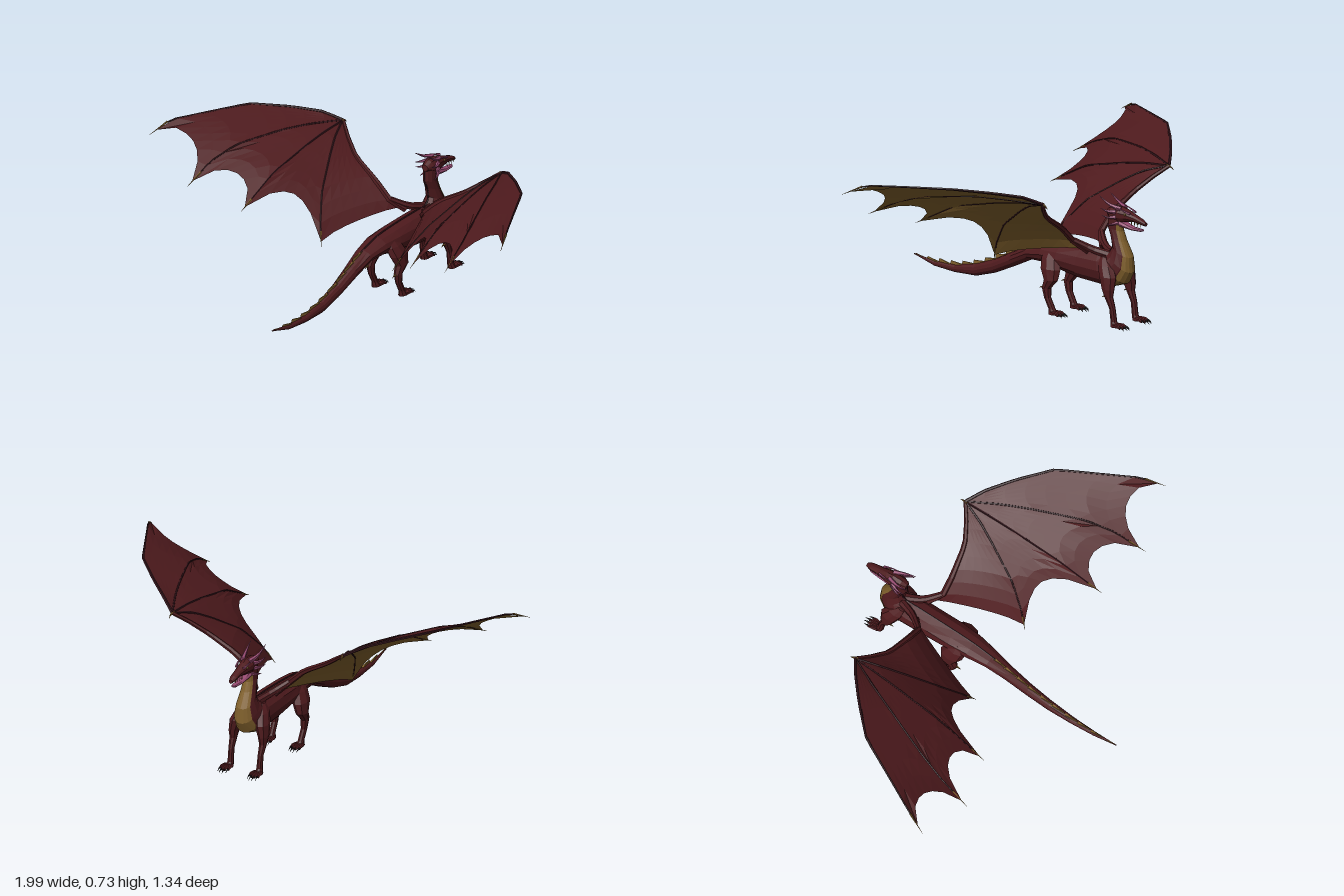
import * as THREE from 'three';

const mat = (color) => new THREE.MeshStandardMaterial({ color, flatShading: true, roughness: 0.9 });
const RED = mat(0x4e1a1d), DARK = mat(0x32141a), GOLD = mat(0x80602c), PINK = mat(0x964a70), BLACK = mat(0x151012);
const PLATE = mat(0x80602c);
PLATE.side = THREE.DoubleSide;
const V = (x, y, z) => new THREE.Vector3(x, y, z);

function buildGeometry(pos, idx) {
  const g = new THREE.BufferGeometry();
  g.setAttribute('position', new THREE.Float32BufferAttribute(pos, 3));
  g.setIndex(idx);
  g.computeVertexNormals();
  return g;
}

// Skin over elliptical sections { c: centre, u, v: half axes }, over a range of angles
function loft(secs, n = 10, a0 = 0, a1 = Math.PI * 2) {
  const pos = [], idx = [], m = n + 1, last = secs.length - 1;
  secs.forEach((s, i) => {
    const dir = secs[Math.min(i + 1, last)].c.clone().sub(secs[Math.max(i - 1, 0)].c);
    const side = s.u.clone().cross(dir).dot(s.v) < 0 ? -1 : 1;
    for (let j = 0; j <= n; j++) {
      const a = a0 + (a1 - a0) * j / n;
      pos.push(...s.c.clone().addScaledVector(s.u, side * Math.sin(a)).addScaledVector(s.v, Math.cos(a)).toArray());
    }
  });
  for (let i = 0; i < last; i++) for (let j = 0; j < n; j++) {
    const a = i * m + j, b = a + m;
    idx.push(a, a + 1, b, a + 1, b + 1, b);
  }
  if (a1 - a0 > 6) [0, last].forEach((i) => {
    const k = pos.length / 3;
    pos.push(...secs[i].c.toArray());
    for (let j = 0; j < n; j++) i ? idx.push(k, i * m + j, i * m + j + 1) : idx.push(k, j + 1, j);
  });
  return buildGeometry(pos, idx);
}

// Section from its top and bottom points in the middle plane and its half width
const spine = ([tz, ty, bz, by, w]) => ({
  c: V(0, (ty + by) / 2, (tz + bz) / 2), u: V(w, 0, 0), v: V(0, (ty - by) / 2, (tz - bz) / 2),
});
const headSection = ([z, top, bottom, w]) => spine([z, top, z, bottom, w]);

// Tapered round limb, bone, horn or claw along a smooth path
function taper(points, r0, r1, steps = 6, n = 5) {
  const curve = new THREE.CatmullRomCurve3(points), f = curve.computeFrenetFrames(steps);
  return loft(Array.from({ length: steps + 1 }, (_, i) => {
    const r = r0 + (r1 - r0) * i / steps;
    return { c: curve.getPointAt(i / steps), u: f.normals[i].clone().multiplyScalar(r), v: f.binormals[i].clone().multiplyScalar(r) };
  }), n);
}

function add(parent, name, geometry, material) {
  const m = new THREE.Mesh(geometry, material);
  m.name = name;
  parent.add(m);
  return m;
}

// Wing skin ruled between two bones, its trailing edge curved inward by sag
function membrane(A, B, sag, up) {
  const pos = [], idx = [], n = 8, k = 6;
  for (let i = 0; i <= n; i++) for (let j = 0; j <= k; j++) {
    const s = j / k, t = i / n * (0.96 - sag * Math.pow(4 * s * (1 - s), 0.65));
    const p = A.getPointAt(t).lerp(B.getPointAt(t), s);
    pos.push(p.x, p.y + (up ? 0.001 : -0.001), p.z);
  }
  const P = (i) => V(pos[3 * i], pos[3 * i + 1], pos[3 * i + 2]);
  for (let i = 0; i < n; i++) for (let j = 0; j < k; j++) {
    const a = i * (k + 1) + j, b = a + k + 1;
    for (const [p, q, r] of [[a, a + 1, b], [a + 1, b + 1, b]]) {
      const ny = P(q).sub(P(p)).cross(P(r).sub(P(p))).y;
      if (ny > 0 === up) idx.push(p, q, r);
      else idx.push(p, r, q);
    }
  }
  return buildGeometry(pos, idx);
}

function wing(s) {
  const g = new THREE.Group();
  // Straight segments between the joints
  const path = (pts) => new THREE.CatmullRomCurve3(pts.map(([x, y, z]) => V(x * s, y, z)), false, 'catmullrom', 0);
  const wrist = [0.45, 0.63, -0.44];
  const bones = [
    [wrist, [0.525, 0.67, -0.39], [0.64, 0.698, -0.295], [0.77, 0.722, -0.17], [0.87, 0.722, 0.02], [0.955, 0.72, 0.18], [0.995, 0.67, 0.28]],
    [wrist, [0.52, 0.645, -0.3], [0.58, 0.65, -0.16], [0.67, 0.635, 0.06], [0.71, 0.59, 0.2], [0.73, 0.515, 0.345]],
    [wrist, [0.455, 0.62, -0.3], [0.46, 0.6, -0.18], [0.468, 0.55, 0.05], [0.48, 0.435, 0.275]],
    [wrist, [0.41, 0.6, -0.33], [0.37, 0.55, -0.24], [0.3, 0.45, -0.09], [0.24, 0.34, 0], [0.2, 0.25, 0.045]],
    [wrist, [0.39, 0.585, -0.395], [0.31, 0.525, -0.35], [0.18, 0.45, -0.33], [0.1, 0.375, -0.33], [0.05, 0.325, -0.38]],
  ].map(path);
  const sags = [0.13, 0.17, 0.23, 0.04];
  sags.forEach((sag, i) => {
    add(g, 'wingMembraneTop', membrane(bones[i], bones[i + 1], sag, true), RED);
    add(g, 'wingMembraneUnderside', membrane(bones[i], bones[i + 1], sag, false), GOLD);
  });
  bones.forEach((b, i) => {
    if (i === 4) return add(g, 'wingArm', taper(b.getSpacedPoints(12), 0.009, 0.016, 12, 6), RED);
    add(g, 'wingFinger', taper(b.getSpacedPoints(20).slice(0, 19), i ? 0.0055 : 0.008, 0.0035, 16), DARK);
    add(g, 'wingFingerClaw', taper([0.89, 0.95, 1].map((t) => b.getPointAt(t)), 0.005, 0.0005, 3), GOLD);
  });
  add(g, 'wristClaw', taper([V(0.445 * s, 0.63, -0.43), V(0.45 * s, 0.628, -0.45), V(0.45 * s, 0.612, -0.468)], 0.008, 0.0005, 3), GOLD);
  // Muscle joining the wing to the back
  add(g, 'wingShoulder', taper([V(0.015 * s, 0.315, -0.475), V(0.045 * s, 0.335, -0.4), V(0.1 * s, 0.378, -0.332)], 0.02, 0.014, 5, 7), RED);
  return g;
}

// Leg sections from the ground up: y, z, x, half width, half depth
const FRONT_LEG = [[0.006, -0.56, 0.078, 0.02, 0.025], [0.03, -0.548, 0.076, 0.014, 0.016], [0.09, -0.54, 0.077, 0.013, 0.016],
  [0.14, -0.52, 0.078, 0.017, 0.022], [0.175, -0.515, 0.077, 0.022, 0.034], [0.23, -0.505, 0.066, 0.031, 0.046],
  [0.275, -0.48, 0.052, 0.026, 0.042], [0.31, -0.46, 0.038, 0.012, 0.02]];
const HIND_LEG = [[0.006, -0.2, 0.076, 0.02, 0.027], [0.03, -0.19, 0.076, 0.014, 0.018], [0.08, -0.165, 0.077, 0.014, 0.018],
  [0.125, -0.16, 0.078, 0.018, 0.024], [0.165, -0.185, 0.078, 0.025, 0.038], [0.215, -0.175, 0.068, 0.032, 0.056],
  [0.26, -0.16, 0.05, 0.028, 0.05], [0.295, -0.155, 0.036, 0.014, 0.026]];

function leg(rows, s) {
  const g = new THREE.Group();
  add(g, 'limb', loft(rows.map(([y, z, x, rx, rz]) => ({ c: V(x * s, y, z), u: V(rx, 0, 0), v: V(0, 0, rz) })), 8), RED);
  const [, z, x] = rows[0];
  for (let i = -1.5; i <= 1.5; i++) {
    const tx = s * (x + i * 0.014), len = 0.01 * (1.5 - Math.abs(i));
    add(g, 'toe', taper([V(s * (x + i * 0.009), 0.014, z), V(tx, 0.015, z - 0.03), V(tx, 0.009, z - 0.042 - len)], 0.01, 0.006, 3), RED);
    add(g, 'toeClaw', taper([V(tx, 0.012, z - 0.038 - len), V(tx, 0.011, z - 0.052 - len), V(tx, 0.001, z - 0.064 - len)], 0.005, 0.0005, 3), BLACK);
  }
  const [hy, hz, hx, , hd] = rows[3];
  add(g, 'heelSpur', taper([V(hx * s, hy, hz + hd * 0.7), V(hx * s, hy, hz + hd + 0.008), V(hx * s, hy - 0.008, hz + hd + 0.018)], 0.007, 0.0005, 3), GOLD);
  return g;
}

export function createModel() {
  const root = new THREE.Group();
  root.name = 'dragon';

  // Tail, trunk and neck in one skin
  const rows = [[0.67, 0.135, 0.67, 0.131, 0.002], [0.55, 0.118, 0.55, 0.095, 0.01], [0.43, 0.12, 0.43, 0.085, 0.016],
    [0.31, 0.145, 0.31, 0.088, 0.022], [0.2, 0.185, 0.2, 0.12, 0.027], [0.1, 0.235, 0.09, 0.168, 0.034],
    [0, 0.28, -0.02, 0.22, 0.047], [-0.1, 0.31, -0.11, 0.22, 0.062], [-0.2, 0.32, -0.2, 0.2, 0.07], [-0.32, 0.326, -0.31, 0.178, 0.07],
    [-0.42, 0.328, -0.47, 0.167, 0.072], [-0.455, 0.325, -0.56, 0.195, 0.066], [-0.473, 0.335, -0.59, 0.25, 0.055],
    [-0.488, 0.36, -0.585, 0.32, 0.042], [-0.475, 0.41, -0.55, 0.39, 0.033], [-0.457, 0.45, -0.535, 0.435, 0.029],
    [-0.46, 0.51, -0.535, 0.475, 0.029], [-0.475, 0.535, -0.54, 0.5, 0.025]];
  add(root, 'body', loft(rows.map(spine), 12), RED);
  const chest = rows.slice(10, 17).map(([tz, ty, bz, by, w]) => spine([tz, ty, bz - 0.004, by - 0.002, w * 1.04]));
  add(root, 'chestPlate', loft(chest, 6, Math.PI * 0.68, Math.PI * 1.32), PLATE);

  // Crest: long low fins on the tail, a thin dark ridge on back and neck
  const ridge = new THREE.CatmullRomCurve3(rows.slice(0, 17).map(([z, y]) => V(0, y, z)));
  const FINS = 10, END = 0.5;
  for (let i = 0; i < FINS; i++) {
    const a = ridge.getPointAt(END * i / FINS), b = ridge.getPointAt(END * (i + 1.3) / FINS);
    const dir = b.clone().sub(a).normalize(), out = V(0, -dir.z, dir.y);
    const tip = a.clone().addScaledVector(out, 0.018 * Math.min(1, 0.2 + i * 0.4)).addScaledVector(dir, 0.012);
    a.addScaledVector(out, -0.006);
    b.addScaledVector(out, -0.004);
    const l = b.clone().setX(0.007), r = b.clone().setX(-0.007);
    add(root, 'tailFin', buildGeometry([a, l, tip, r].flatMap((p) => p.toArray()), [0, 1, 2, 0, 2, 3, 1, 3, 2, 0, 3, 1]), GOLD);
  }
  const back = Array.from({ length: 12 }, (_, i) => ridge.getPointAt(END + (0.99 - END) * i / 11));
  add(root, 'backRidge', taper(back, 0.004, 0.004, 22), DARK);

  // Head
  const head = new THREE.Group();
  head.name = 'head';
  root.add(head);
  add(head, 'skull', loft([[-0.458, 0.53, 0.5, 0.018], [-0.485, 0.546, 0.478, 0.03], [-0.53, 0.549, 0.472, 0.034], [-0.565, 0.538, 0.48, 0.029],
    [-0.61, 0.52, 0.486, 0.021], [-0.65, 0.505, 0.481, 0.018], [-0.672, 0.493, 0.475, 0.01]].map(headSection), 10), RED);
  add(head, 'lowerJaw', loft([[-0.5, 0.495, 0.458, 0.026], [-0.55, 0.48, 0.451, 0.024], [-0.6, 0.463, 0.446, 0.018],
    [-0.645, 0.46, 0.447, 0.013], [-0.656, 0.459, 0.451, 0.006]].map(headSection), 8), PINK);
  for (const s of [1, -1]) {
    const spike = (name, p, r, m = PINK) => add(head, name, taper(p.map(([x, y, z]) => V(s * x, y, z)), r, 0.0008, 5), m);
    spike('horn', [[0.018, 0.54, -0.54], [0.033, 0.555, -0.49], [0.039, 0.588, -0.435]], 0.012);
    spike('sideHorn', [[0.027, 0.525, -0.52], [0.043, 0.525, -0.485], [0.047, 0.535, -0.448]], 0.011);
    spike('cheekSpike', [[0.028, 0.5, -0.52], [0.046, 0.498, -0.485], [0.055, 0.505, -0.46]], 0.01);
    spike('jawSpike', [[0.022, 0.475, -0.53], [0.036, 0.465, -0.5], [0.04, 0.46, -0.475]], 0.009);
    spike('brow', [[0.02, 0.525, -0.595], [0.028, 0.537, -0.56], [0.032, 0.547, -0.52]], 0.006);
    for (let i = 0; i < 4; i++) spike('tooth', [[0.016 - i * 0.001, 0.488, -0.6 - i * 0.017], [0.016 - i * 0.001, 0.472, -0.602 - i * 0.017]], 0.0025, GOLD);
    add(head, 'eye', new THREE.IcosahedronGeometry(0.006, 1), GOLD).position.set(s * 0.026, 0.52, -0.57);

    // Wings and legs on both sides
    const parts = { Wing: wing(s), FrontLeg: leg(FRONT_LEG, s), HindLeg: leg(HIND_LEG, s) };
    for (const [name, part] of Object.entries(parts)) {
      part.name = (s > 0 ? 'left' : 'right') + name;
      root.add(part);
    }
  }
  return root;
}
